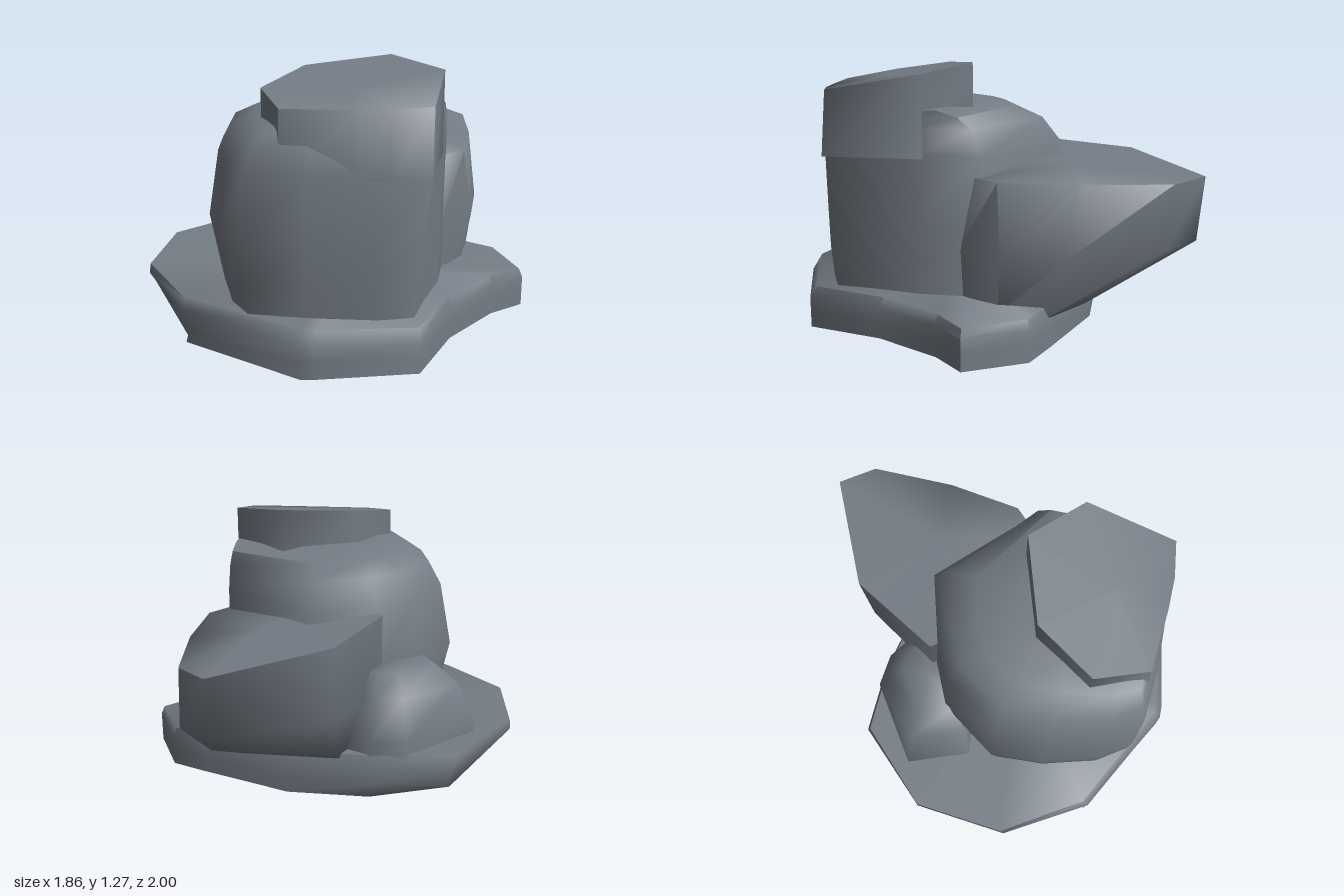
import * as THREE from 'three';
import { toCreasedNormals } from 'three/addons/utils/BufferGeometryUtils.js';

const stone = new THREE.MeshStandardMaterial({ color: 0x747c85 });
stone.name = 'slate grey stone';

// Skins a stack of rings ([x, y, z] points, counterclockwise from above) and closes both ends
function rock(name, rings, crease = 1.4) {
  const pos = [];
  const tri = (a, b, c) => pos.push(...a, ...b, ...c);
  const n = rings[0].length;
  const middle = (r) => [0, 1, 2].map((k) => r.reduce((s, p) => s + p[k], 0) / n);
  const low = rings[0], high = rings[rings.length - 1];
  const lowMid = middle(low), highMid = middle(high);
  for (let i = 0; i < n; i++) {
    const j = (i + 1) % n;
    for (let k = 0; k + 1 < rings.length; k++) {
      const a = rings[k], b = rings[k + 1];
      tri(a[i], a[j], b[j]);
      tri(a[i], b[j], b[i]);
    }
    tri(low[j], low[i], lowMid);
    tri(high[i], high[j], highMid);
  }
  const geo = new THREE.BufferGeometry();
  geo.setAttribute('position', new THREE.Float32BufferAttribute(pos, 3));
  const mesh = new THREE.Mesh(toCreasedNormals(geo, crease), stone);
  mesh.name = name;
  return mesh;
}

export function createModel() {
  const group = new THREE.Group();
  group.name = 'rockFormation';

  // Broad base slab: flat underneath, chamfered up towards the rim on its -x side
  const rim = [[0, 1], [0.06, 0.99], [0.5, 0.85], [0.6, 0.48], [0.78, 0.17], [0.925, 0.03], [0.78, -0.25], [0.6, -0.32],
    [0.15, -0.48], [-0.3, -0.5], [-0.65, -0.45], [-0.93, -0.04], [-0.9, 0.43], [-0.6, 0.79]];
  const floor = [...rim.slice(0, 9), [-0.25, -0.48], [-0.55, -0.39], [-0.62, -0.04], [-0.61, 0.42], [-0.59, 0.78]];
  const chamfer = [0.06, 0.165, 0.15, 0.05];
  group.add(rock('baseSlab', [
    floor.map(([x, z]) => [x, x < -0.5 ? 0.015 : 0, z]),
    rim.map(([x, z], i) => i < 10 ? [x, 0.08, z] : [x * 0.97, chamfer[i - 10], z * 0.985]),
    rim.map(([x, z]) => [x, 0.15 - 0.05 * Math.min(x, 0), z]),
    rim.map(([x, z]) => [x * (x > 0 ? 0.98 : 1), 0.215 - 0.024 * x, z * 0.96]),
  ], 1.2));

  // Upright boulder: flat on the +x side, rounded at the back and -x side
  const plan = [[-0.3, 0.88], [0, 0.86], [0.3, 0.81], [0.515, 0.74], [0.52, 0.3], [0.52, 0], [0.06, -0.33],
    [-0.28, -0.18], [-0.46, -0.06], [-0.61, 0.25], [-0.55, 0.5], [-0.42, 0.76]];
  // height, width of -x half, depth of front, depth of back, draw-in of the +x front corner
  const levels = [[0.1, 0.85, 0.94, 1, 0.07], [0.35, 0.93, 0.99, 1, 0.04], [0.55, 1, 1, 1, 0.025], [0.87, 0.9, 1, 0.98, 0],
    [0.99, 0.79, 0.94, 0.83, 0.01], [1.045, 0.6, 0.88, 0.62, 0.01], [1.075, 0.35, 0.7, 0.3, 0.01]];
  group.add(rock('mainBoulder', levels.map(([y, w, f, b, d]) => plan.map(([x, z]) => [
    x < 0 ? x * w : x > 0.5 && z > 0.5 ? x - d : x, y, 0.3 + (z - 0.3) * (z > 0.3 ? f : b)]))));

  // Sloping cap stone
  const cap = [[-0.12, 0.82], [0.2, 0.8], [0.35, 0.78], [0.525, 0.73], [0.525, 0.28], [0.25, 0.09], [-0.13, 0.28], [-0.26, 0.59]];
  group.add(rock('capStone', [
    cap.map(([x, z]) => [x, 0.85, z > 0.7 ? z + 0.025 : z]),
    cap.map(([x, z]) => [x, 1.285 - 0.17 * z, z]),
  ]));

  // Block overhanging the back, with a broad sloping underside
  group.add(rock('overhangBlock', [
    [[0, 0.1, 0.1], [0.5, 0.1, 0.12], [0.6, 0.15, -0.08], [0.61, 0.13, -0.28], [0.52, 0.2, -0.48],
      [0.36, 0.21, -0.51], [-0.1, 0.2, -0.49], [-0.24, 0.15, -0.2]],
    [[0, 0.42, 0.1], [0.51, 0.42, 0.12], [0.65, 0.42, -0.1], [0.65, 0.44, -0.4], [0.56, 0.48, -0.84],
      [0.42, 0.49, -0.97], [-0.1, 0.45, -0.62], [-0.28, 0.42, -0.2]],
    [[0, 0.83, 0.1], [0.51, 0.77, 0.05], [0.605, 0.77, -0.08], [0.605, 0.77, -0.45], [0.545, 0.775, -0.86],
      [0.4, 0.785, -1], [-0.1, 0.82, -0.66], [-0.28, 0.83, -0.2]],
  ]));

  // Small rounded rock resting against the back of the -x side
  const nub = [[-0.58, 0.11], [-0.2, 0], [-0.1, -0.4], [-0.25, -0.48], [-0.42, -0.47], [-0.74, -0.17]];
  group.add(rock('sideRock', [[0.18, 1], [0.29, 1], [0.48, 0.82], [0.58, 0.55]].map(([y, s]) =>
    nub.map(([x, z]) => [-0.3 + (x + 0.3) * s, y, -0.15 + (z + 0.15) * s]))));

  return group;
}
